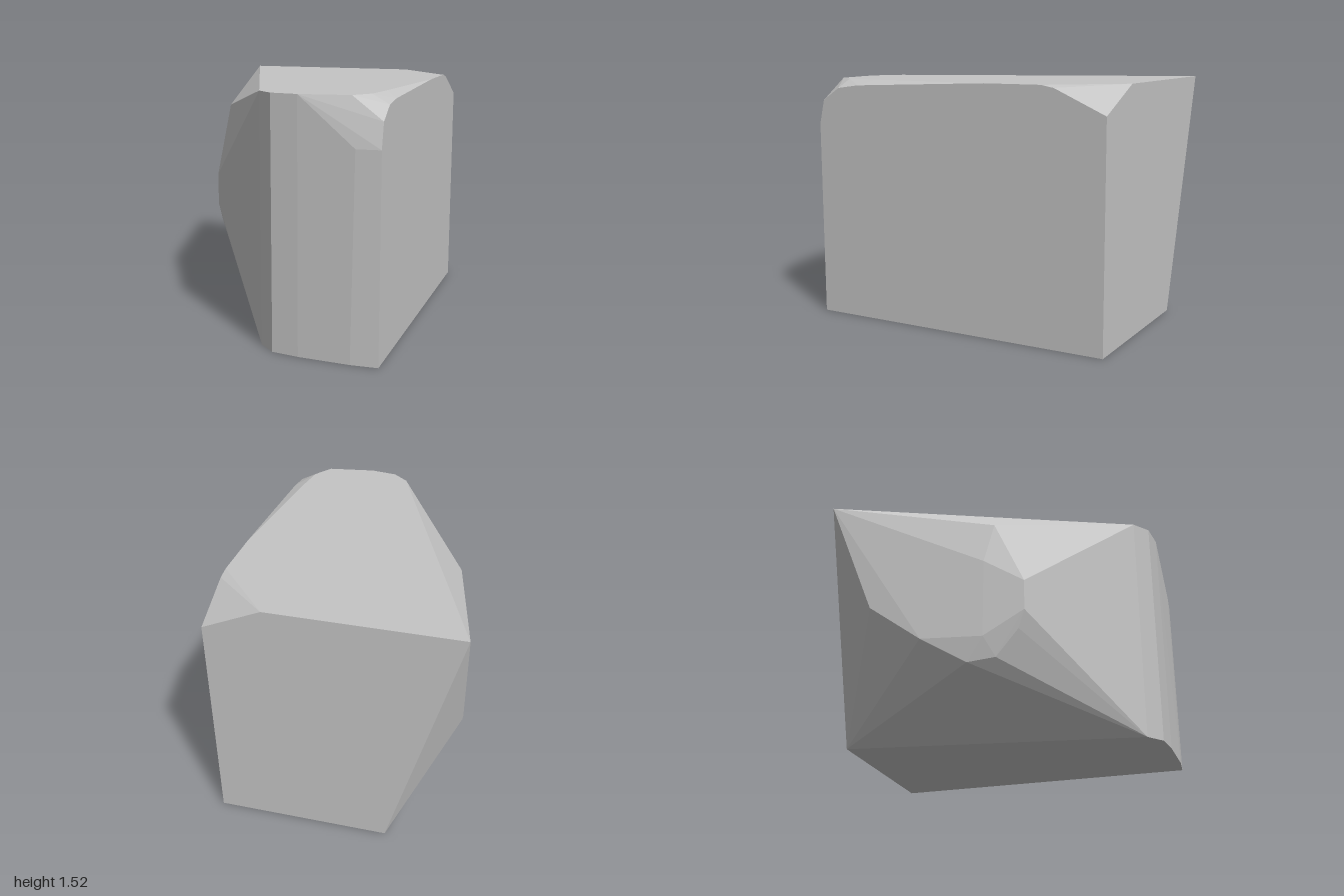
import * as THREE from 'three';
import { ConvexGeometry } from 'three/addons/geometries/ConvexGeometry.js';

const H = 1.525; // height of the flat top
const R = 0.765; // flat right-hand side

export function createModel() {
  const stone = new THREE.MeshStandardMaterial({ color: 0xc4c4c4 });
  const points = [];
  const add = (list) => list.forEach((p) => points.push(new THREE.Vector3(...p)));
  const ring = (y, list) => add(list.map(([x, z]) => [x, y, z]));

  // flat base
  ring(0, [[R, -1], [-0.31, -1], [0.01, 0.87], [0.11, 0.955], [0.28, 0.98], [0.6, 0.995], [R, 0.985]]);

  // flat top
  ring(H, [
    [-0.765, -1], [0.01, 0.87], [0.11, 0.955], [0.28, 0.98], [0.58, 0.935],
    [0.66, 0.82], [0.69, 0.6], [R, -0.23], [R, -0.6], [0.4, -1],
  ]);

  // worn edge along the top of the flat side, from front to back
  add([
    [0.62, 1.24, 0.995], [R, 1.24, 0.985], [R, 1.39, 0.95], [R, 1.47, 0.83],
    [R, 1.49, 0.68], [R, 1.51, -0.68], [R, 1.365, -1],
  ]);

  // bulging outer side
  add([
    [-0.54, 1.34, 0.05], [-0.53, 1.17, 0.15], [-0.6, 1.05, 0], [-0.55, 0.9, 0.25],
    [-0.55, 0.7, 0.25], [-0.54, 0.58, 0.21], [-0.6, 0.53, 0], [-0.555, 0.4, 0.07],
    [-0.595, 0.37, -0.1], [-0.67, 0.53, -0.38], [-0.71, 0.77, -0.71],
  ]);

  const rock = new THREE.Mesh(new ConvexGeometry(points), stone);
  stone.name = 'grey stone';
  rock.name = 'rock';

  const group = new THREE.Group();
  group.name = 'cut boulder';
  group.add(rock);
  return group;
}
